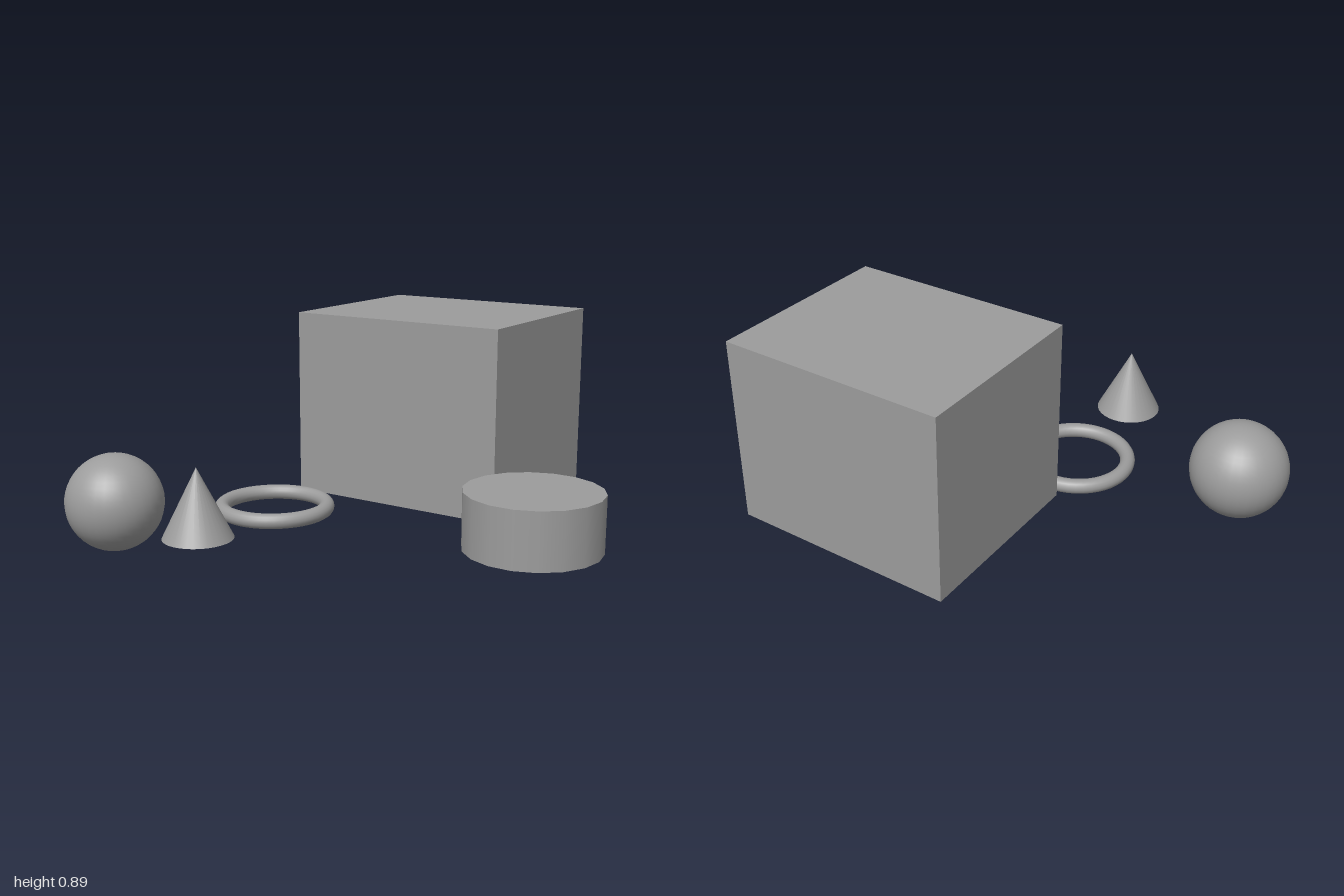
import * as THREE from 'three';

export function createModel() {
  const group = new THREE.Group();
  const material = new THREE.MeshStandardMaterial({ color: 0x9c9c9c });
  const base = 0.19; // shared floor level of the solids

  function add(name, geometry, x, y, z) {
    const mesh = new THREE.Mesh(geometry, material);
    mesh.name = name;
    mesh.position.set(x, y, z);
    group.add(mesh);
  }

  // Large block at the back
  add('box', new THREE.BoxGeometry(0.852, 0.698, 0.72), 0.096, base + 0.349, -0.413);

  // Ball, centred just below the floor level
  add('sphere', new THREE.SphereGeometry(0.188, 32, 24), -0.811, 0.188, 0.486);

  // Eighteen-sided drum with corners on the x axis
  const drum = new THREE.CylinderGeometry(0.239, 0.239, 0.202, 18);
  drum.rotateY(Math.PI / 2);
  add('cylinder', drum, 0.759, base + 0.101, 0.119);

  // Small cone at the front
  add('cone', new THREE.ConeGeometry(0.125, 0.25, 32), -0.248, base + 0.125, 0.648);

  // Ring lying flat
  const ring = new THREE.TorusGeometry(0.196, 0.028, 16, 48);
  ring.rotateX(-Math.PI / 2);
  add('ring', ring, -0.263, base + 0.002, 0.202);

  return group;
}
